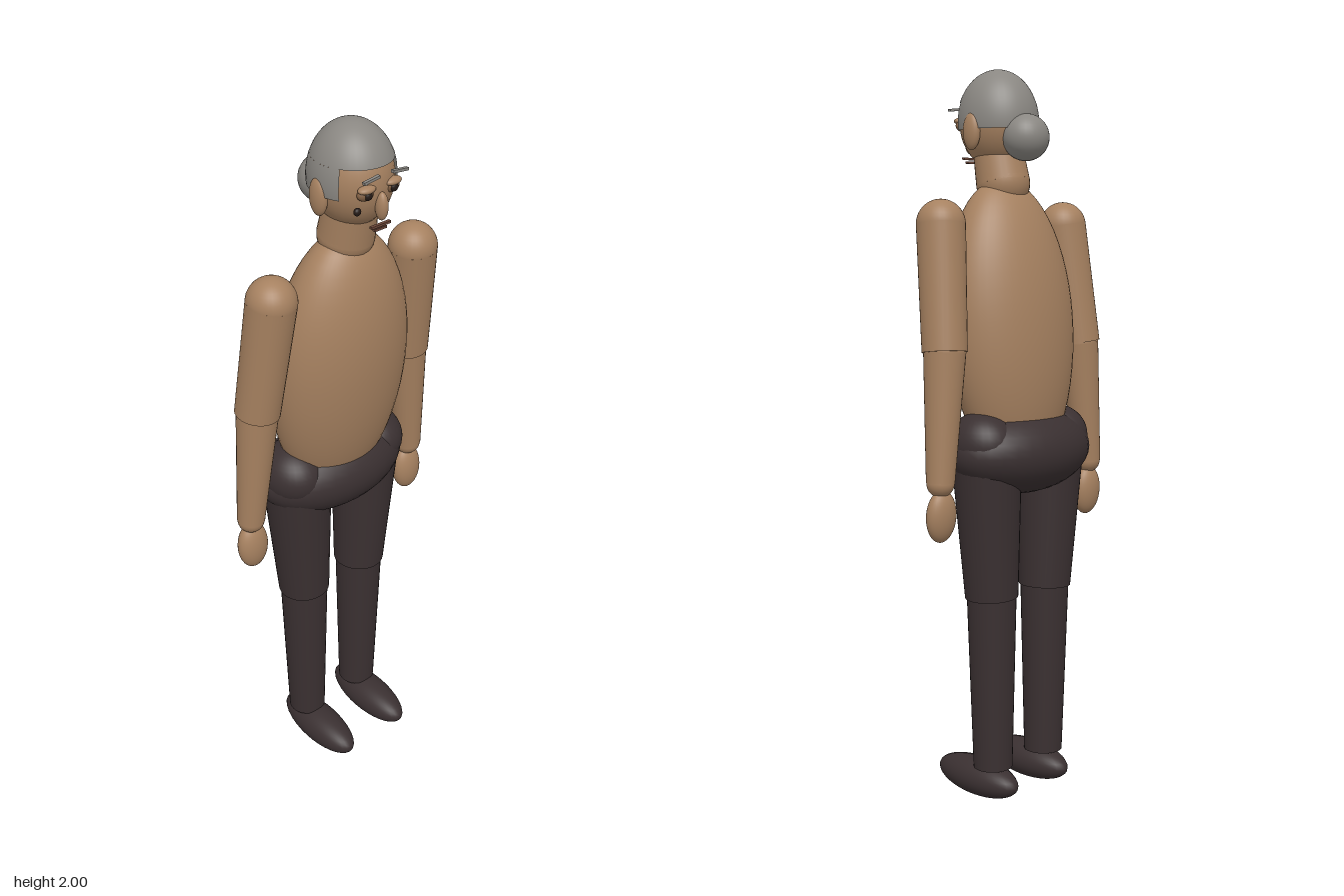
import * as THREE from 'three';

const mat = (name, color, side = THREE.FrontSide) => {
  const m = new THREE.MeshStandardMaterial({ color, side });
  m.name = name;
  return m;
};

export function createModel() {
  const skin = mat('skin', 0xa68160);
  const hair = mat('grey hair', 0x8a8782, THREE.DoubleSide);
  const cloth = mat('dark trousers', 0x3a3031);
  const lidTone = mat('eyelid brown', 0x805f43);
  const dark = mat('dark eye', 0x241a16);
  const lip = mat('lip', 0x6b4638);

  const model = new THREE.Group();
  model.name = 'figure';

  const add = (name, geo, material, pos = [0, 0, 0], rot = [0, 0, 0]) => {
    const mesh = new THREE.Mesh(geo, material);
    mesh.name = name;
    mesh.position.set(...pos);
    mesh.rotation.set(...rot);
    model.add(mesh);
    return mesh;
  };
  const ball = (name, material, pos, radii, rot) =>
    add(name, new THREE.SphereGeometry(1, 32, 20).scale(...radii), material, pos, rot);
  const box = (name, material, pos, size, rot) =>
    add(name, new THREE.BoxGeometry(...size), material, pos, rot);

  // Tapered limb between two points
  const limb = (name, material, a, b, ra, rb) => {
    const from = new THREE.Vector3(...a), to = new THREE.Vector3(...b);
    const dir = from.clone().sub(to);
    const mesh = add(name, new THREE.CylinderGeometry(ra, rb, dir.length(), 32), material);
    mesh.position.copy(from).add(to).multiplyScalar(0.5);
    mesh.quaternion.setFromUnitVectors(new THREE.Vector3(0, 1, 0), dir.normalize());
    return mesh;
  };

  // Torso: egg profile, flattened front to back and leaning forward
  const egg = [];
  for (let i = 0; i <= 28; i++) {
    const t = -Math.PI / 2 + (Math.PI * i) / 28;
    egg.push(new THREE.Vector2(Math.max(0.203 * Math.cos(t), 0.0001), Math.sin(t) * (t > 0 ? 0.385 : 0.42)));
  }
  add('torso', new THREE.LatheGeometry(egg, 48).scale(1, 1, 0.68), skin, [0, 1.33, 0.003], [0.09, 0, 0]);

  // Pelvis and hip lobes
  ball('pelvis', cloth, [0, 0.98, -0.037], [0.232, 0.118, 0.144]);

  for (const s of [-1, 1]) {
    const side = s > 0 ? 'left' : 'right';
    ball(side + 'Hip', cloth, [s * 0.14, 1.01, -0.03], [0.088, 0.085, 0.1]);

    // Leg
    const hip = [s * 0.121, 0.95, -0.03], knee = [s * 0.104, 0.585, -0.03], ankle = [s * 0.1, 0.1, -0.03];
    limb(side + 'Thigh', cloth, hip, knee, 0.094, 0.073);
    ball(side + 'HipJoint', cloth, hip, [0.094, 0.08, 0.094]);
    ball(side + 'Knee', cloth, knee, [0.068, 0.06, 0.068]);
    limb(side + 'Shin', cloth, knee, ankle, 0.068, 0.054);
    ball(side + 'Foot', cloth, [s * 0.1, 0.055, 0.03], [0.058, 0.052, 0.149]);

    // Arm
    const shoulder = [s * 0.231, 1.589, 0.025], elbow = [s * 0.257, 1.26, -0.015], wrist = [s * 0.285, 0.92, -0.026];
    ball(side + 'Shoulder', skin, shoulder, [0.065, 0.065, 0.065]);
    limb(side + 'UpperArm', skin, shoulder, elbow, 0.065, 0.06);
    ball(side + 'Elbow', skin, elbow, [0.056, 0.056, 0.056]);
    limb(side + 'Forearm', skin, elbow, wrist, 0.056, 0.038);
    ball(side + 'Wrist', skin, wrist, [0.037, 0.037, 0.037]);
    ball(side + 'Hand', skin, [s * 0.283, 0.832, -0.026], [0.046, 0.071, 0.031], [-0.06, 0, 0]);

    // Ear, eye and brow
    ball(side + 'Ear', skin, [s * 0.1, 1.833, 0.047], [0.018, 0.049, 0.028]);
    ball(side + 'EyeSocket', lidTone, [s * 0.04, 1.855, 0.145], [0.024, 0.016, 0.014]);
    ball(side + 'Eye', dark, [s * 0.04, 1.854, 0.156], [0.011, 0.011, 0.008]);
    ball(side + 'UpperLid', skin, [s * 0.04, 1.868, 0.15], [0.025, 0.01, 0.016]);
    box(side + 'Brow', hair, [s * 0.044, 1.9, 0.17], [0.048, 0.007, 0.009], [0, 0, -s * 0.12]);
  }

  // Neck
  limb('neck', skin, [0, 1.8, 0.052], [0, 1.7, 0.03], 0.067, 0.073);
  ball('neckBase', skin, [0, 1.7, 0.03], [0.073, 0.073, 0.073]);

  // Head and face
  ball('head', skin, [0, 1.863, 0.05], [0.1, 0.127, 0.108]);
  ball('nose', skin, [0, 1.818, 0.158], [0.015, 0.036, 0.018]);
  box('mouth', lip, [0, 1.769, 0.155], [0.06, 0.006, 0.009]);
  box('lowerLip', lip, [0, 1.759, 0.153], [0.038, 0.006, 0.009]);
  ball('cheekMole', dark, [-0.065, 1.818, 0.146], [0.01, 0.01, 0.008]);

  // Hair: crown cap, lower band round the sides and back, and a bun
  const hairShell = (name, phi0, phi, theta0, theta) =>
    add(name, new THREE.SphereGeometry(1, 40, 16, phi0, phi, theta0, theta).scale(0.107, 0.14, 0.115),
      hair, [0, 1.86, 0.05]);
  hairShell('hairCrown', 0, Math.PI * 2, 0, 1.17);
  hairShell('hairBack', Math.PI - 0.55, Math.PI + 1.1, 1.17, 0.55);
  ball('hairBun', hair, [0, 1.817, -0.056], [0.064, 0.062, 0.062]);

  return model;
}
